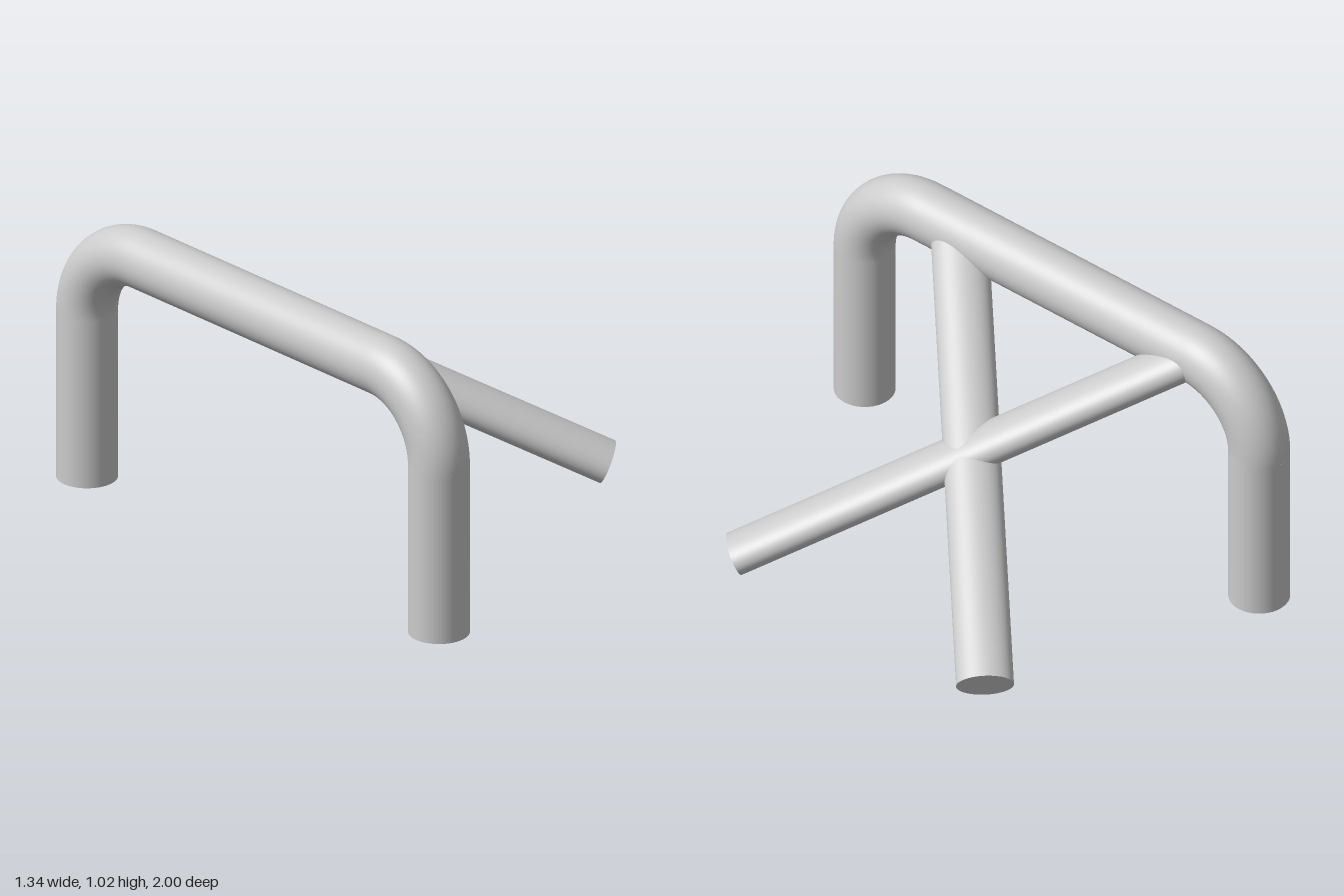
import * as THREE from 'three';

const material = new THREE.MeshStandardMaterial({ color: 0xcccccc });
const R = 0.107;       // hoop pipe radius
const HOOP_X = -0.56;
const LEG_Z = 0.893;
const TOP_Y = 0.913;
const BEND = 0.285;    // centreline radius of the corners

function addMesh(group, name, geometry) {
  const mesh = new THREE.Mesh(geometry, material);
  mesh.name = name;
  group.add(mesh);
  return mesh;
}

// Oval bar between two points; roll turns the oval about the bar's axis
function addBar(group, name, from, to, halfWidth, halfHeight, roll) {
  const dir = to.clone().sub(from);
  const length = dir.length();
  dir.normalize();
  const side = new THREE.Vector3(0, 1, 0).cross(dir).normalize();
  const up = dir.clone().cross(side);
  side.applyAxisAngle(dir, roll);
  up.applyAxisAngle(dir, roll);
  const geometry = new THREE.CylinderGeometry(1, 1, length, 64);
  geometry.scale(halfWidth, 1, halfHeight);
  const mesh = addMesh(group, name, geometry);
  const basis = new THREE.Matrix4().makeBasis(side, dir, side.clone().cross(dir));
  mesh.quaternion.setFromRotationMatrix(basis);
  mesh.position.copy(from).add(to).multiplyScalar(0.5);
}

export function createModel() {
  const group = new THREE.Group();
  const legH = TOP_Y - BEND;

  // Hoop: two legs, two quarter bends, one straight top rail
  for (const s of [1, -1]) {
    const end = s > 0 ? 'front' : 'back';
    addMesh(group, end + 'Leg', new THREE.CylinderGeometry(R, R, legH, 64))
      .position.set(HOOP_X, legH / 2, s * LEG_Z);
    const bend = addMesh(group, end + 'Bend', new THREE.TorusGeometry(BEND, R, 48, 32, Math.PI / 2));
    bend.rotation.y = -s * Math.PI / 2;
    bend.position.set(HOOP_X, legH, s * (LEG_Z - BEND));
  }
  const rail = addMesh(group, 'topRail', new THREE.CylinderGeometry(R, R, 2 * (LEG_Z - BEND), 64, 1, true));
  rail.rotation.x = Math.PI / 2;
  rail.position.set(HOOP_X, TOP_Y, 0);

  // Crossed sloping bars
  addBar(group, 'crossBarToBack', new THREE.Vector3(-0.55, 0.9, 0.455),
    new THREE.Vector3(0.595, 0.16, -0.635), 0.1, 0.072, 0);
  addBar(group, 'crossBarToFront', new THREE.Vector3(-0.55, 0.9, -0.595),
    new THREE.Vector3(0.595, 0.16, 0.5), 0.101, 0.068, 0.15);
  return group;
}
